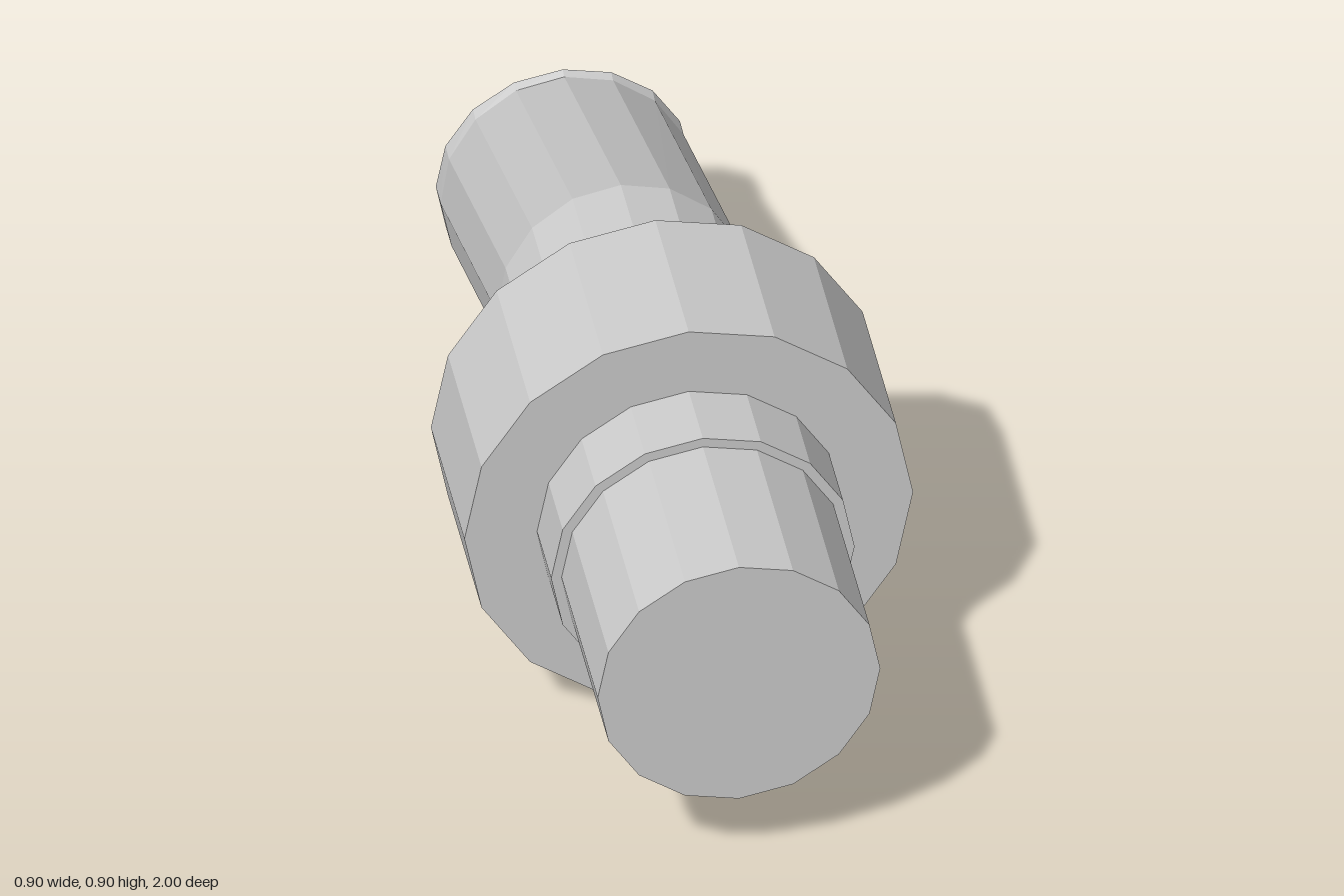
import * as THREE from 'three';

const SIDES = 16;
const AXIS_Y = 0.453;

export function createModel() {
  const model = new THREE.Group();
  const material = new THREE.MeshStandardMaterial({ color: 0xcccccc, flatShading: true });

  const add = (name, geometry) => {
    const mesh = new THREE.Mesh(geometry, material);
    mesh.name = name;
    model.add(mesh);
  };

  // Straight round sections along z
  const section = (name, radius, back, front) => {
    const g = new THREE.CylinderGeometry(radius, radius, front - back, SIDES);
    g.rotateX(Math.PI / 2);
    g.translate(0, AXIS_Y, (front + back) / 2);
    add(name, g);
  };
  section('frontPipe', 0.285, 0.59, 1);
  section('collar', 0.306, 0.43, 0.59);
  section('flange', 0.4525, 0.05, 0.43);

  // Bent rear pipe: each ring of a cylinder moves to a station [z, y, lean, height scale]
  const stations = [
    [0.05, AXIS_Y, 0, 1],
    [-0.305, AXIS_Y, 0.14, 1],
    [-0.945, 0.258, 0.15, 0.985],
    [-1, 0.26, 0, 1],
  ];
  const spans = stations.length - 1;
  const bent = new THREE.CylinderGeometry(0.256, 0.256, spans, SIDES, spans);
  bent.rotateX(Math.PI / 2);
  const pos = bent.attributes.position;
  for (let i = 0; i < pos.count; i++) {
    const [z, y, lean, scale] = stations[Math.round(spans / 2 - pos.getZ(i))];
    const h = pos.getY(i) * scale;
    pos.setY(i, y + h);
    pos.setZ(i, z - lean * h);
  }
  bent.computeVertexNormals();
  add('bentRearPipe', bent);

  return model;
}
